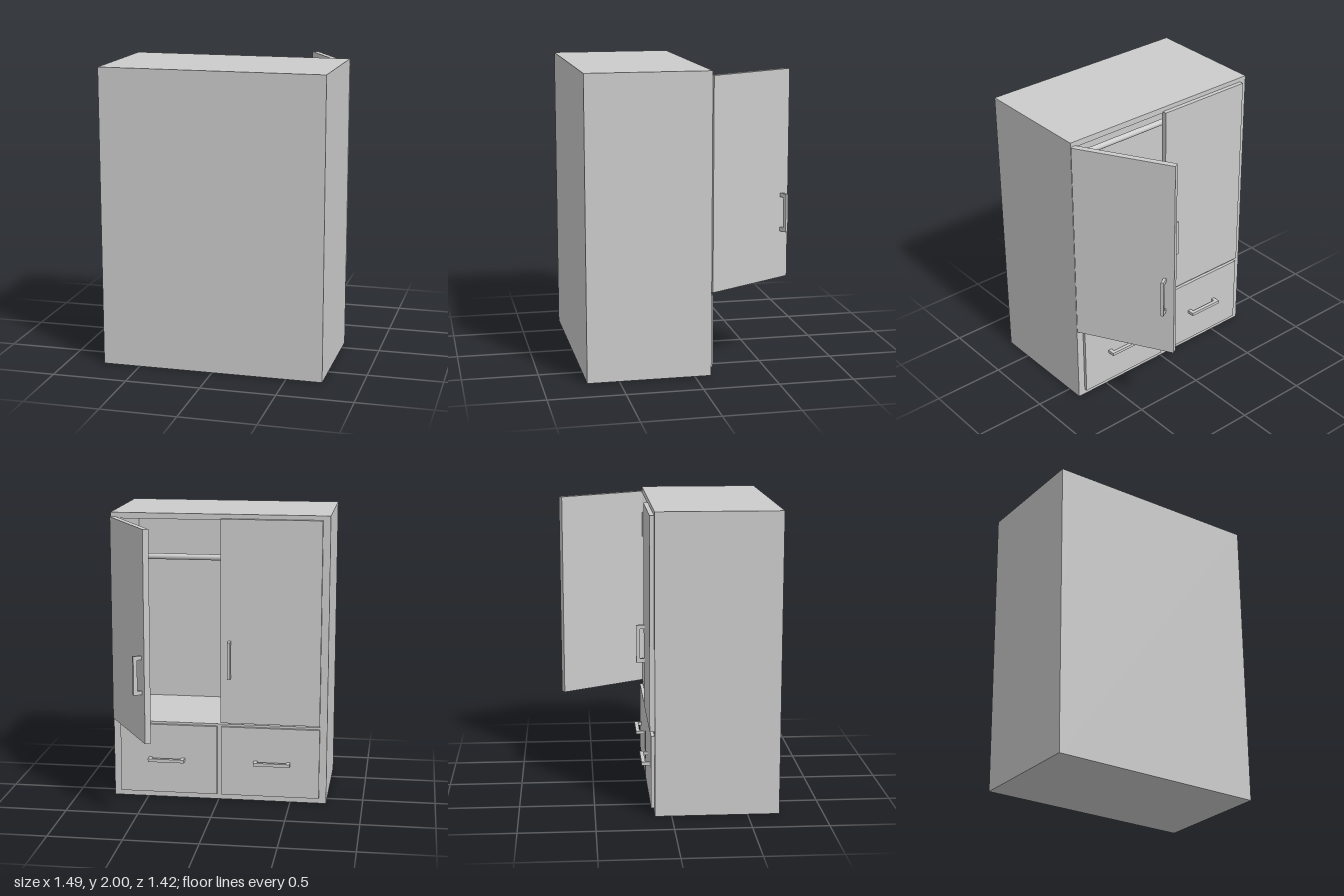
import * as THREE from 'three';

const material = new THREE.MeshStandardMaterial({ color: 0xcccccc, flatShading: true });
const rodMaterial = new THREE.MeshStandardMaterial({ color: 0xcccccc });

// Box given by its lower and upper corners
function box(name, [x0, y0, z0], [x1, y1, z1]) {
  const mesh = new THREE.Mesh(new THREE.BoxGeometry(x1 - x0, y1 - y0, z1 - z0), material);
  mesh.position.set((x0 + x1) / 2, (y0 + y1) / 2, (z0 + z1) / 2);
  mesh.name = name;
  return mesh;
}

// Horizontal bow handle standing off toward -z, mounted at z = 0
function handle(name, length, reach, width) {
  const shape = new THREE.Shape();
  const h = length / 2, t = 0.026;
  [[-h, 0], [-h, reach], [h, reach], [h, 0], [h - t, 0], [h - t, reach - t], [t - h, reach - t], [t - h, 0]]
    .forEach(([x, y], i) => (i ? shape.lineTo(x, y) : shape.moveTo(x, y)));
  const geometry = new THREE.ExtrudeGeometry(shape, { depth: width, bevelEnabled: false });
  geometry.translate(0, 0, -width / 2);
  geometry.rotateX(-Math.PI / 2);
  const mesh = new THREE.Mesh(geometry, material);
  mesh.name = name;
  return mesh;
}

// Door hinged at its own origin, outer face at z = 0; dir is the way it extends along x
function door(name, dir) {
  const group = new THREE.Group();
  group.name = name;
  const w = 0.685;
  group.add(box(name + 'Panel', [Math.min(0, dir * w), 0.56, 0], [Math.max(0, dir * w), 1.97, 0.04]));
  const grip = handle(name + 'Handle', 0.26, 0.056, 0.02);
  grip.rotation.z = Math.PI / 2;
  grip.position.set(dir * (w - 0.063), 1.01, 0);
  group.add(grip);
  return group;
}

export function createModel() {
  const model = new THREE.Group();
  model.name = 'wardrobe';
  const L = -0.75, R = 0.74, F = -0.11, B = 0.71, inner = 0.615, t = 0.05;
  const mid = (L + R) / 2;

  // Carcass
  model.add(
    box('rightSide', [L, 0, F], [L + t, 2, B]),
    box('leftSide', [R - t, 0, F], [R, 2, B]),
    box('topPanel', [L + t, 1.96, F], [R - t, 2, B]),
    box('bottomPanel', [L + t, 0, F], [R - t, 0.05, B]),
    box('backPanel', [L + t, 0.05, inner], [R - t, 1.96, B]),
    box('compartmentFloor', [L + t, 0.505, F], [R - t, 0.545, inner]),
    box('drawerDivider', [mid - 0.022, 0.05, F], [mid + 0.022, 0.505, inner]),
  );

  // Hanging rod on a cleat at each side wall
  model.add(
    box('leftRodCleat', [R - t - 0.025, 1.605, -0.05], [R - t, 1.685, 0.56]),
    box('rightRodCleat', [L + t, 1.605, -0.05], [L + t + 0.025, 1.685, 0.56]),
  );
  const rod = new THREE.Mesh(new THREE.CylinderGeometry(0.021, 0.021, R - L - 2 * t - 0.02, 24), rodMaterial);
  rod.name = 'hangingRod';
  rod.rotation.z = Math.PI / 2;
  rod.position.set(mid, 1.65, 0.25);
  model.add(rod);

  // Drawers
  for (const [side, sign] of [['left', 1], ['right', -1]]) {
    const a = mid + sign * 0.015, b = mid + sign * 0.695;
    model.add(box(side + 'DrawerFront', [Math.min(a, b), 0.04, -0.132], [Math.max(a, b), 0.53, -0.1]));
    const grip = handle(side + 'DrawerHandle', 0.253, 0.052, 0.022);
    grip.position.set(mid + sign * 0.368, 0.282, -0.132);
    model.add(grip);
  }

  // Closed door and open door
  const closed = door('rightDoor', 1);
  closed.position.set(-0.7, 0, -0.14);
  const open = door('leftDoor', -1);
  open.position.set(0.743, 0, -0.118);
  open.rotation.y = -Math.PI / 3;
  model.add(closed, open);

  return model;
}
